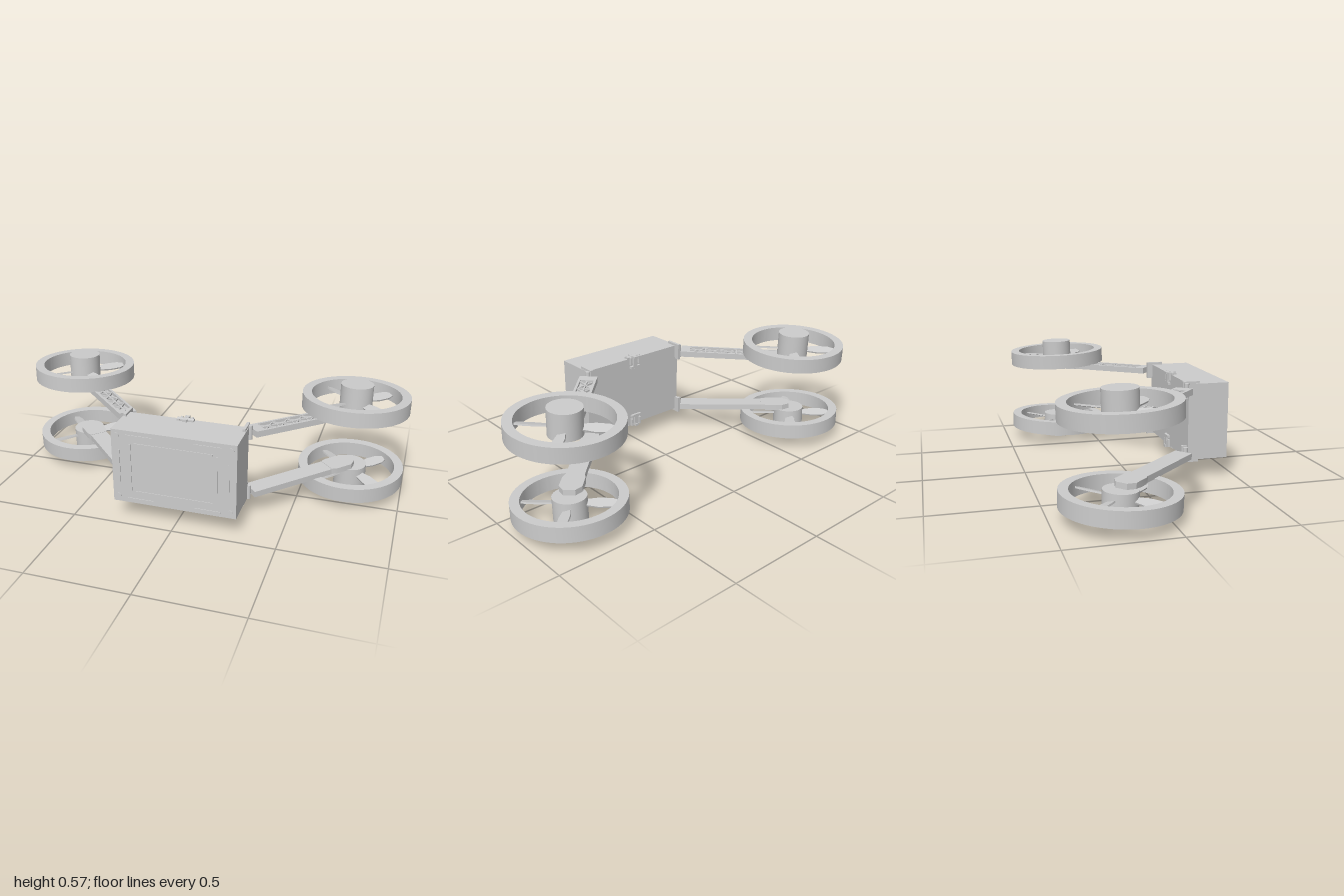
import * as THREE from 'three';
import { toCreasedNormals } from 'three/addons/utils/BufferGeometryUtils.js';

const grey = new THREE.MeshStandardMaterial({ color: 0xcccccc });
const MID = 0.286; // height of the horizontal mirror plane

function add(parent, name, geometry, x = 0, y = 0, z = 0) {
  const mesh = new THREE.Mesh(geometry, grey);
  mesh.name = name;
  mesh.position.set(x, y, z);
  parent.add(mesh);
  return mesh;
}
const box = (w, h, d) => new THREE.BoxGeometry(w, h, d);
const cyl = (r, h, n = 48) => new THREE.CylinderGeometry(r, r, h, n);

// Flat outline in (x, z), extruded upwards along y
function slab(shape, height) {
  const g = new THREE.ExtrudeGeometry(shape, { depth: height, bevelEnabled: false, curveSegments: 64 });
  g.rotateX(-Math.PI / 2);
  return toCreasedNormals(g, 0.5);
}
const outline = (pts) => new THREE.Shape(pts.map(([x, y]) => new THREE.Vector2(x, y)));

// Ducted rotor: ring, motor and four pitched blades, y = 0 at the arm axis
function makeRotor() {
  const rotor = new THREE.Group();
  rotor.name = 'rotor';
  const ring = new THREE.Shape().absarc(0, 0, 0.265, 0, Math.PI * 2);
  ring.holes.push(new THREE.Path().absarc(0, 0, 0.22, 0, Math.PI * 2, true));
  add(rotor, 'ductRing', slab(ring, 0.075), 0, 0.012, 0);
  add(rotor, 'motor', cyl(0.08, 0.128), 0, 0.074, 0);
  const blade = outline([[0.06, -0.016], [0.13, -0.028], [0.19, -0.026], [0.226, -0.012],
    [0.226, 0.012], [0.19, 0.026], [0.13, 0.028], [0.06, 0.016]]);
  for (let i = 0; i < 4; i++) {
    const holder = new THREE.Group();
    holder.name = 'blade' + (i + 1);
    holder.rotation.y = (i * Math.PI) / 2;
    add(holder, 'bladeSurface', slab(blade, 0.008), 0, 0.042, 0).rotation.x = 0.3;
    rotor.add(holder);
  }
  return rotor;
}

// Channel arm running along +x, open side up with lattice bracing
function makeArm() {
  const arm = new THREE.Group();
  arm.name = 'arm';
  const len = 0.52;
  add(arm, 'armFloor', box(len, 0.016, 0.09), len / 2, -0.007, 0);
  for (const s of [-1, 1]) add(arm, 'armRail', box(len, 0.03, 0.012), len / 2, 0, s * 0.039);
  add(arm, 'armRoot', box(0.05, 0.03, 0.09), 0.025, 0, 0);
  add(arm, 'centreRib', box(len, 0.024, 0.007), len / 2, 0, 0);
  const bays = 5, step = 0.42 / bays;
  for (let i = 0; i < bays; i++) {
    const x = 0.05 + step * (i + 0.5);
    add(arm, 'crossRib', box(0.007, 0.022, 0.07), x + step / 2, 0, 0);
    for (const s of [-1, 1]) {
      add(arm, 'diagonalBrace', box(Math.hypot(step, 0.07), 0.02, 0.006), x, 0, 0)
        .rotation.y = s * Math.atan2(0.07, step);
    }
  }
  // Chamfered motor mount at the tip
  const mount = outline([[0.45, -0.045], [0.48, -0.054], [0.565, -0.054], [0.602, -0.028],
    [0.602, 0.028], [0.565, 0.054], [0.48, 0.054], [0.45, 0.045]]);
  add(arm, 'motorMount', slab(mount, 0.03), 0, -0.017, 0);
  const rotor = makeRotor();
  rotor.position.x = 0.602;
  arm.add(rotor);
  return arm;
}

// Fold bracket: L-shaped plate in the (z, y) plane
function makeBracket() {
  const shape = outline([[0.31, 0.155], [0.31, 0.2], [0.225, 0.2], [0.225, 0.115],
    [0.25, 0.115], [0.262, 0.14]]);
  const g = new THREE.ExtrudeGeometry(shape, { depth: 0.014, bevelEnabled: false });
  g.rotateY(-Math.PI / 2); // (z, y, depth) -> (-depth, y, z)
  return g.translate(0.007, 0, 0);
}

// Latch on the rear edge
function makeLatch() {
  const latch = new THREE.Group();
  latch.name = 'latch';
  add(latch, 'latchLever', box(0.022, 0.012, 0.055), 0, 0.193, 0.262);
  add(latch, 'latchTongue', box(0.022, 0.065, 0.012), 0, 0.165, 0.246);
  add(latch, 'latchPin', cyl(0.009, 0.084, 16), 0, 0.192, 0.268).rotation.z = Math.PI / 2;
  for (const s of [-1, 1]) {
    add(latch, 'latchCheek', box(0.01, 0.04, 0.03), s * 0.026, 0.176, 0.256);
    add(latch, 'latchFoot', box(0.016, 0.012, 0.026), s * 0.034, 0.19, 0.268);
  }
  add(latch, 'latchHook', box(0.06, 0.012, 0.014), 0, 0.14, 0.248);
  return latch;
}

// Everything that sits on the upper half of the body
function makeHalf() {
  const half = new THREE.Group();
  for (const s of [-1, 1]) {
    const arm = makeArm();
    arm.name = s > 0 ? 'leftArm' : 'rightArm';
    arm.position.set(s * 0.31, 0.158, 0.23);
    arm.rotation.set(-0.036, s > 0 ? Math.PI / 4 : (3 * Math.PI) / 4, 0);
    half.add(arm);
    add(half, 'foldBracket', makeBracket(), s * 0.292, 0, 0);
    add(half, 'hingePin', cyl(0.012, 0.07, 16), s * 0.305, 0.158, 0.242);
    // Front panel trim
    add(half, 'cornerScrew', cyl(0.013, 0.006, 20), s * 0.275, 0.159, 0.459).rotation.x = Math.PI / 2;
    add(half, 'edgeStrip', box(0.13, 0.006, 0.005), s * 0.165, 0.165, 0.459);
  }
  add(half, 'panelStrip', box(0.38, 0.008, 0.005), 0, 0.125, 0.459);
  half.add(makeLatch());
  return half;
}

export function createModel() {
  const model = new THREE.Group();
  model.name = 'foldingQuadcopter';

  const body = new THREE.Group();
  body.name = 'body';
  body.position.y = MID;
  model.add(body);
  add(body, 'bodyCase', box(0.604, 0.376, 0.203), 0, 0, 0.3565);
  for (const s of [-1, 1]) {
    add(body, 'panelSideStrip', box(0.008, 0.24, 0.005), s * 0.21, 0, 0.459);
    add(body, 'outerSideStrip', box(0.006, 0.17, 0.005), s * 0.265, 0, 0.459);
  }

  // The lower half is the upper half turned over about the front axis
  const upper = makeHalf();
  upper.name = 'upperHalf';
  const lower = makeHalf();
  lower.name = 'lowerHalf';
  lower.rotation.z = Math.PI;
  body.add(upper, lower);
  return model;
}
